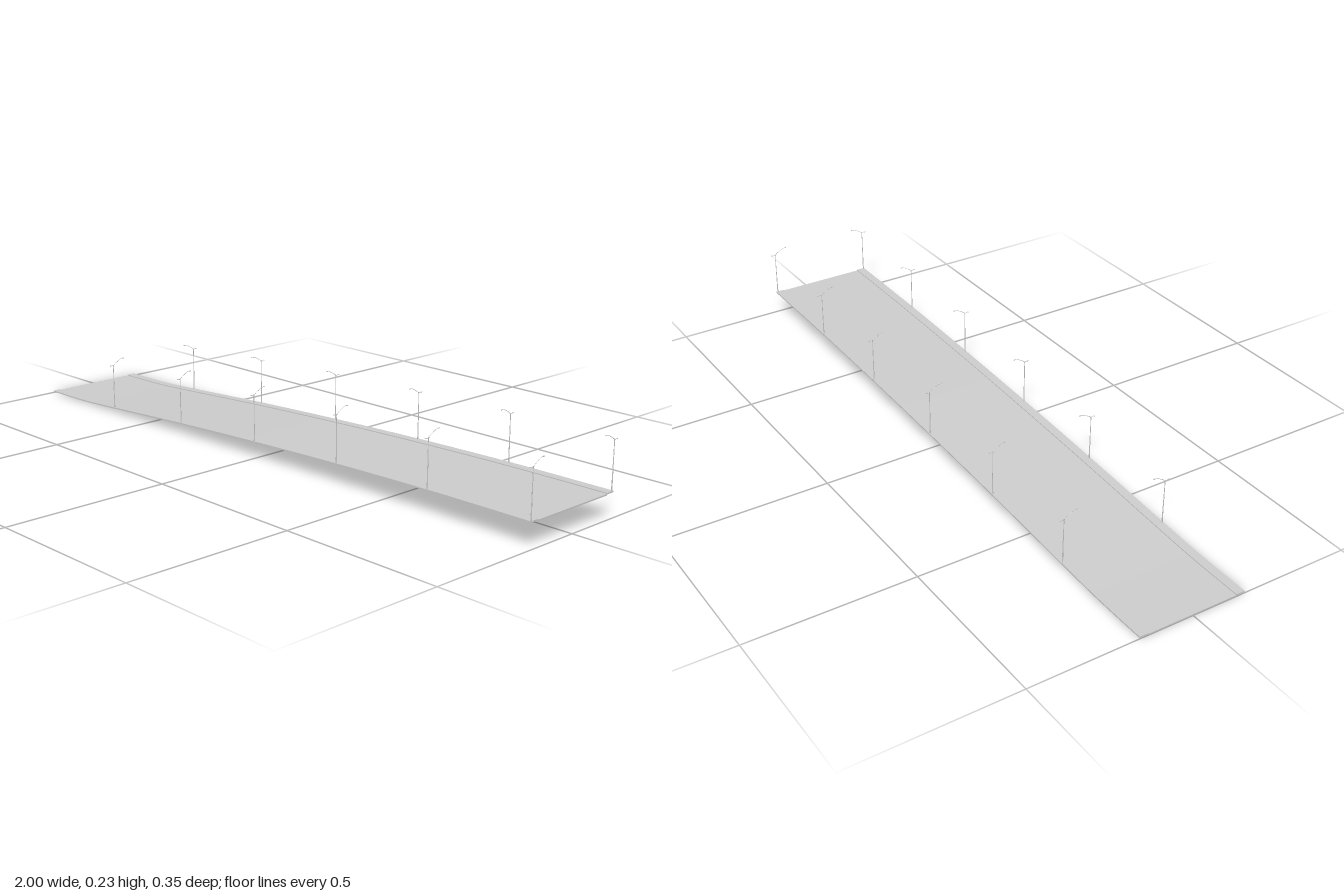
import * as THREE from 'three';

const grey = new THREE.MeshStandardMaterial({ color: 0xcccccc });

// rising line of the underside of the roadway, seen from the front
const rise = new THREE.SplineCurve([
  [-1, 0.006], [-0.83, 0.0078], [-0.667, 0.016], [-0.333, 0.036], [0, 0.052],
  [0.333, 0.064], [0.667, 0.0715], [1, 0.0735],
].map(([x, y]) => new THREE.Vector2(x, y)));
const line = rise.getPoints(42);

function heightAt(x) {
  const i = Math.max(1, line.findIndex((p) => p.x >= x));
  const a = line[i - 1], b = line[i];
  return a.y + (b.y - a.y) * (x - a.x) / (b.x - a.x);
}

function add(parent, name, geometry, x = 0, y = 0, z = 0) {
  const mesh = new THREE.Mesh(geometry, grey);
  mesh.name = name;
  mesh.position.set(x, y, z);
  parent.add(mesh);
  return mesh;
}

// slab that follows the rising line, from z0 to z1
function slab(parent, name, z0, z1, bottom, top) {
  const under = line.map((p) => new THREE.Vector2(p.x, p.y + bottom));
  const over = line.map((p) => new THREE.Vector2(p.x, p.y + top)).reverse();
  const geometry = new THREE.ExtrudeGeometry(new THREE.Shape([...under, ...over]),
    { depth: z1 - z0, bevelEnabled: false });
  add(parent, name, geometry, 0, 0, z0);
}

// street lamp: local origin at the pavement, long arm reaching to -z
function makeLamp() {
  const lamp = new THREE.Group();
  lamp.name = 'streetLamp';
  add(lamp, 'lampBase', new THREE.CylinderGeometry(0.0017, 0.002, 0.016, 8), 0, 0.004, 0);
  add(lamp, 'lampPole', new THREE.CylinderGeometry(0.0009, 0.0016, 0.138, 8), 0, 0.069, 0);

  const arm = (name, points) => {
    const curve = new THREE.CatmullRomCurve3(points.map(([y, z]) => new THREE.Vector3(0, y, z)));
    add(lamp, name, new THREE.TubeGeometry(curve, 10, 0.0007, 6));
  };
  arm('roadArm', [[0.13, 0], [0.138, -0.003], [0.147, -0.017], [0.153, -0.028], [0.154, -0.036]]);
  arm('pavementArm', [[0.132, 0], [0.1355, 0.002], [0.1365, 0.008]]);

  // flattened lamp heads
  const head = (name, y, z, length) => {
    const mesh = add(lamp, name, new THREE.SphereGeometry(1, 10, 6), 0, y, z);
    mesh.scale.set(0.002, 0.0014, length / 2);
  };
  head('roadLampHead', 0.154, -0.0375, 0.009);
  head('pavementLampHead', 0.1365, 0.0105, 0.007);
  return lamp;
}

export function createModel() {
  const model = new THREE.Group();
  model.name = 'bridgeRamp';

  slab(model, 'roadway', -0.14, 0.14, 0, 0.004);
  for (const side of [1, -1]) {
    // raised pavement along each edge
    const inner = side * 0.14, outer = side * 0.167;
    slab(model, side > 0 ? 'frontPavement' : 'backPavement',
      Math.min(inner, outer), Math.max(inner, outer), 0.0025, 0.0065);

    // row of lamps on each pavement
    for (const x of [-0.667, -0.333, 0, 0.333, 0.663, 0.997]) {
      const lamp = makeLamp();
      lamp.position.set(x, heightAt(x) + 0.0065, side * 0.163);
      if (side < 0) lamp.rotation.y = Math.PI;
      model.add(lamp);
    }
  }
  return model;
}
